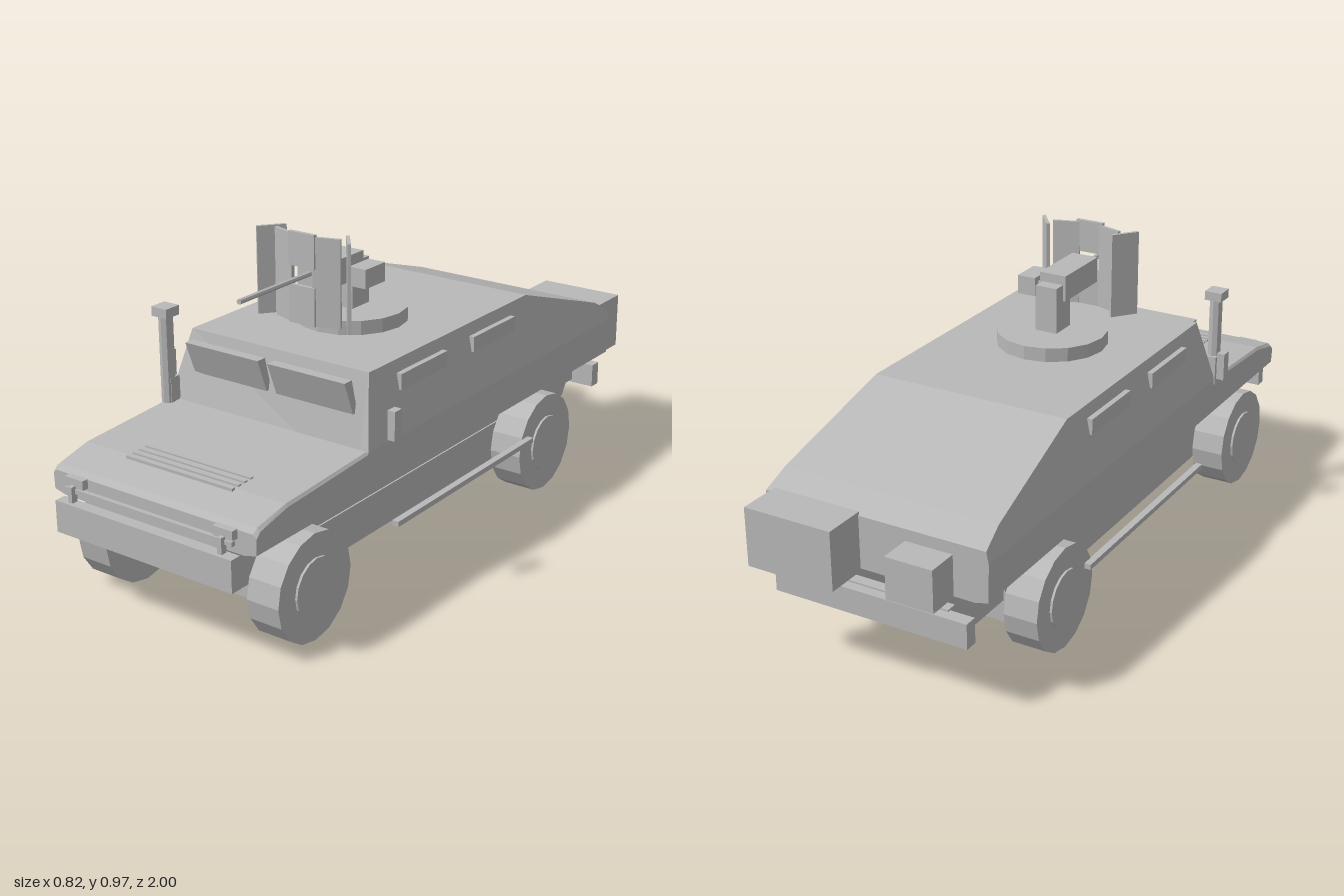
import * as THREE from 'three';

const paint = new THREE.MeshStandardMaterial({ color: 0xb8b8b8 });
paint.name = 'primer grey';

export function createModel() {
  const model = new THREE.Group();
  model.name = 'armouredTruck';

  const add = (name, geometry) => {
    const flat = geometry.index ? geometry.toNonIndexed() : geometry;
    flat.computeVertexNormals();
    const mesh = new THREE.Mesh(flat, paint);
    mesh.name = name;
    model.add(mesh);
    return mesh;
  };
  // Box given by its limits on each axis
  const box = (name, x0, x1, y0, y1, z0, z1) => {
    const mesh = add(name, new THREE.BoxGeometry(x1 - x0, y1 - y0, z1 - z0));
    mesh.position.set((x0 + x1) / 2, (y0 + y1) / 2, (z0 + z1) / 2);
    return mesh;
  };
  // Side profile of [z, y] points, extruded across x
  const profile = (name, points, x0, x1) => {
    const shape = new THREE.Shape(points.map(([z, y]) => new THREE.Vector2(z, y)));
    const g = new THREE.ExtrudeGeometry(shape, { depth: x1 - x0, bevelEnabled: false });
    g.rotateY(-Math.PI / 2).translate(x1, 0, 0);
    return add(name, g);
  };
  // Skin through cross-sections of equal point counts, with end caps
  const loft = (name, rings) => {
    const n = rings[0].length, index = [];
    for (let r = 0; r < rings.length - 1; r++) {
      for (let i = 0; i < n; i++) {
        const a = r * n + i, b = r * n + (i + 1) % n;
        index.push(a, b, a + n, b, b + n, a + n);
      }
    }
    const last = (rings.length - 1) * n;
    for (let i = 1; i < n - 1; i++) {
      index.push(0, i + 1, i, last, last + i, last + i + 1);
    }
    const g = new THREE.BufferGeometry();
    g.setAttribute('position', new THREE.Float32BufferAttribute(rings.flat(2), 3));
    g.setIndex(index);
    return add(name, g);
  };

  // Upper body: narrow underside chamfer, upright flank, sloping cabin side
  const section = (zLow, zTop, belt, top, w) => {
    const half = [[0.31, 0.333, zLow], [0.35, 0.343, zLow], [0.352, belt, zLow], [w, top, zTop]];
    return [...half, ...half.map(([x, y, z]) => [-x, y, z]).reverse()];
  };
  loft('cabin', [
    section(-0.875, -0.875, 0.455, 0.49, 0.345),
    section(-0.80, -0.80, 0.455, 0.53, 0.337),
    section(-0.40, -0.40, 0.455, 0.658, 0.311),
    section(0.48, 0.42, 0.455, 0.658, 0.311),
  ]);
  loft('hood', [
    section(0.479, 0.479, 0.45, 0.457, 0.345),
    section(0.83, 0.83, 0.43, 0.438, 0.345),
    section(0.94, 0.94, 0.405, 0.414, 0.342),
    section(0.955, 0.955, 0.39, 0.40, 0.34),
  ]);

  // Lower hull and belly
  profile('lowerHull', [[-0.875, 0.335], [-0.785, 0.19], [0.885, 0.19],
    [0.955, 0.275], [0.955, 0.335]], -0.24, 0.24);
  box('belly', -0.245, 0.245, 0.122, 0.24, -0.62, 0.82);

  // Hood vent slats
  for (let i = 0; i < 4; i++) {
    const z = 0.76 + i * 0.025;
    box('hoodSlat', -0.185, 0.185, 0.43, 0.446 - i * 0.001, z, z + 0.012);
  }

  // Bumpers, light guard
  box('frontBumper', -0.305, 0.305, 0.243, 0.336, 0.965, 1.0);
  box('bumperMount', -0.23, 0.23, 0.26, 0.32, 0.94, 0.97);
  box('rearBumper', -0.305, 0.305, 0.21, 0.285, -0.91, -0.87);
  box('rearBumperMount', -0.23, 0.23, 0.22, 0.29, -0.88, -0.78);
  box('guardBar', -0.29, 0.29, 0.36, 0.373, 0.965, 0.978);

  // Stowage at the back
  box('largeRearBox', 0.045, 0.32, 0.325, 0.50, -1.0, -0.87);
  box('smallRearBox', -0.245, -0.10, 0.33, 0.455, -0.97, -0.87);

  for (const s of [1, -1]) {
    const sideBox = (name, x0, x1, ...rest) =>
      box(name, Math.min(s * x0, s * x1), Math.max(s * x0, s * x1), ...rest);

    // Wheels with raised rims
    for (const z of [0.72, -0.48]) {
      const tyre = add('tyre', new THREE.CylinderGeometry(0.157, 0.157, 0.104, 16).rotateZ(Math.PI / 2));
      tyre.position.set(s * 0.301, 0.157, z);
      const rim = add('rim', new THREE.CylinderGeometry(0.087, 0.087, 0.1, 16).rotateZ(Math.PI / 2));
      rim.position.set(s * 0.31, 0.157, z);
    }
    sideBox('sideStep', 0.352, 0.373, 0.197, 0.213, -0.37, 0.365);
    sideBox('mirror', 0.388, 0.412, 0.49, 0.575, 0.41, 0.443);
    sideBox('frontSideWindow', 0.315, 0.335, 0.575, 0.622, 0.07, 0.30);
    sideBox('rearSideWindow', 0.315, 0.335, 0.575, 0.622, -0.30, -0.07);
    sideBox('headlight', 0.225, 0.29, 0.375, 0.402, 0.95, 0.975);
    sideBox('guardPost', 0.252, 0.266, 0.33, 0.382, 0.97, 0.99);

    // Windscreen pane leaning forward at the top
    profile('windscreen', [[0.45, 0.54], [0.488, 0.64], [0.455, 0.64], [0.43, 0.54]],
      s > 0 ? 0.017 : -0.28, s > 0 ? 0.28 : -0.017);

    // Angled gun shield wings
    const wing = (x0, z0, x1, z1) => {
      const m = add('shieldWing', new THREE.BoxGeometry(Math.hypot(x1 - x0, z1 - z0), 0.26, 0.01));
      m.position.set(s * (x0 + x1) / 2, 0.83, (z0 + z1) / 2);
      m.rotation.y = -s * Math.atan2(z1 - z0, x1 - x0);
    };
    wing(0.035, 0.30, 0.113, 0.275);
    wing(0.108, 0.235, 0.162, 0.303);
  }

  // Snorkel beside the windscreen
  const pipe = add('snorkelPipe', new THREE.CylinderGeometry(0.021, 0.021, 0.28, 8));
  pipe.position.set(-0.337, 0.58, 0.503);
  box('snorkelBase', -0.355, -0.318, 0.44, 0.53, 0.475, 0.512);
  box('snorkelCap', -0.365, -0.31, 0.715, 0.743, 0.475, 0.53);

  // Roof ring, pedestal and gun
  const ring = add('turretRing', new THREE.CylinderGeometry(0.167, 0.167, 0.045, 16));
  ring.position.set(0, 0.6775, 0.07);
  box('gunPedestal', -0.035, 0.035, 0.69, 0.84, 0.032, 0.115);
  box('gunReceiver', -0.043, 0.043, 0.79, 0.868, 0.072, 0.27);
  box('ammoBox', 0.06, 0.118, 0.788, 0.845, 0.07, 0.165);
  box('ammoFeed', 0.04, 0.065, 0.80, 0.83, 0.09, 0.14);
  const barrel = add('barrel', new THREE.CylinderGeometry(0.008, 0.008, 0.34, 8).rotateX(Math.PI / 2));
  barrel.position.set(0, 0.84, 0.41);
  box('lowerShield', -0.045, 0.045, 0.70, 0.813, 0.296, 0.308);
  box('upperShield', -0.045, 0.045, 0.868, 0.967, 0.296, 0.308);

  return model;
}
